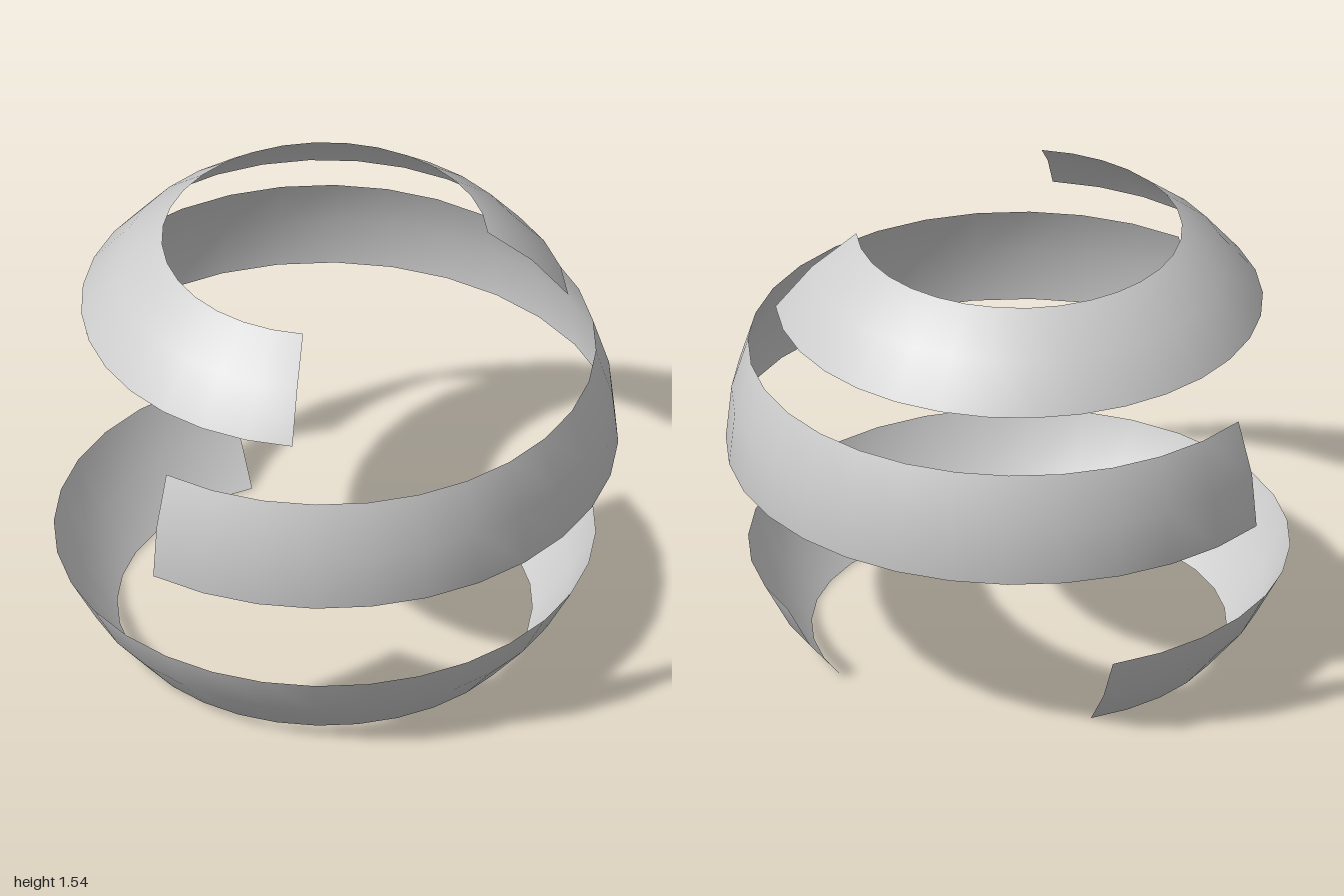
import * as THREE from 'three';

const STEP = 11.25; // degrees per facet, 32 to a full turn
const rad = THREE.MathUtils.degToRad;

export function createModel() {
  const group = new THREE.Group();
  group.name = 'bandedSphere';
  const grey = new THREE.MeshStandardMaterial({ color: 0xcccccc, side: THREE.DoubleSide });
  grey.name = 'light grey';

  // An open strip of a unit sphere: start angle, facet count and polar range
  function addBand(name, start, facets, polarStart, polarEnd) {
    const geometry = new THREE.SphereGeometry(
      1, facets, 2,
      rad(start), rad(facets * STEP),
      rad(polarStart), rad(polarEnd - polarStart)
    );
    const band = new THREE.Mesh(geometry, grey);
    band.name = name;
    // Lower rim rests on the ground; the slight z shift centres the open ends
    band.position.set(0, Math.SQRT1_2, 0.01);
    group.add(band);
  }

  addBand('topBand', -129.375, 23, 33.75, 56.25);  // open on +x
  addBand('middleBand', 101.25, 24, 67.5, 90);     // open at front, -x side
  addBand('bottomBand', -22.5, 25, 112.5, 135);    // open at back, -x side

  return group;
}
